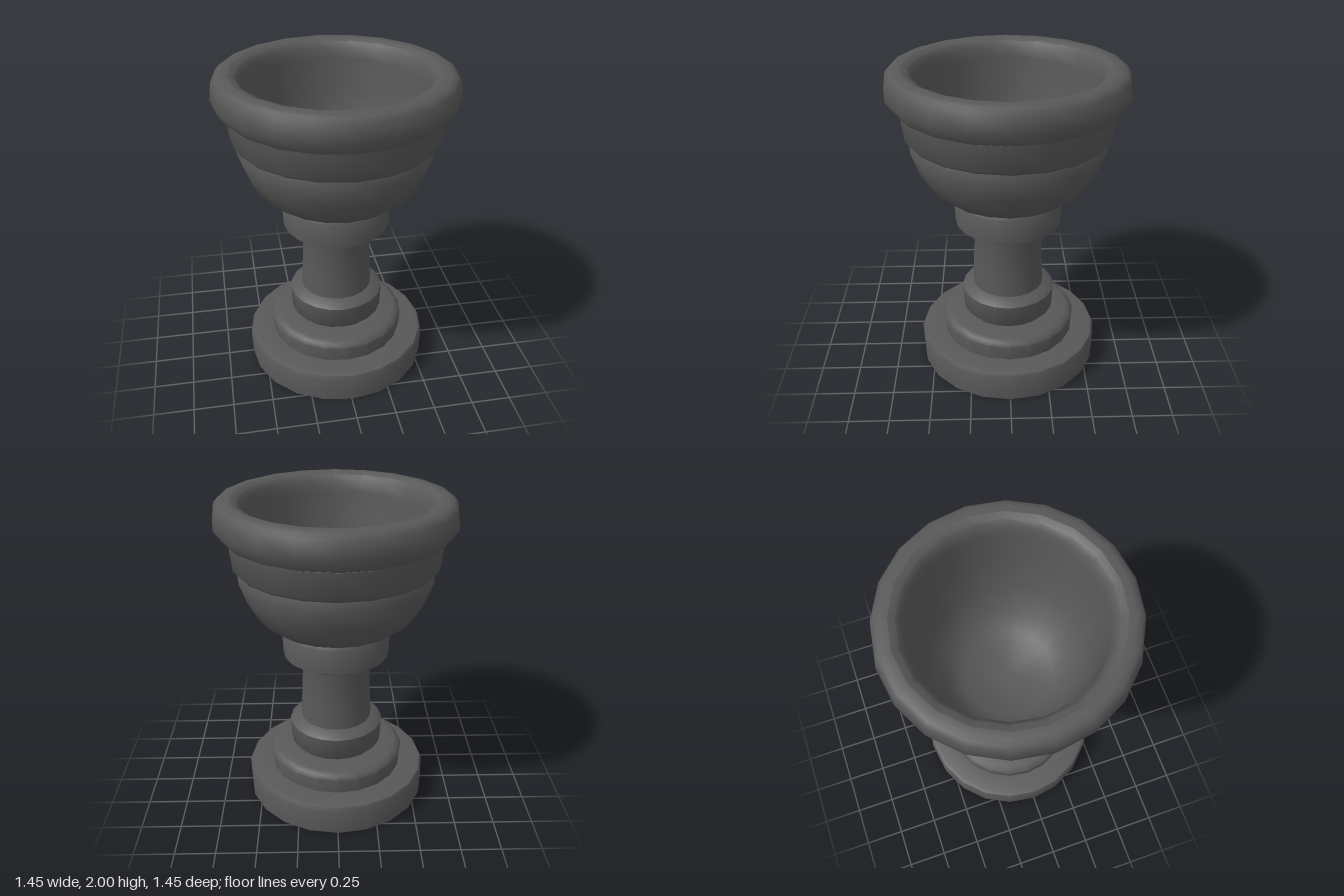
import * as THREE from 'three';
import { toCreasedNormals } from 'three/addons/utils/BufferGeometryUtils.js';

const SIDES = 20;

export function createModel() {
  const group = new THREE.Group();
  group.name = 'goblet';
  const stone = new THREE.MeshStandardMaterial({ color: 0x585858, side: THREE.DoubleSide });
  stone.name = 'dark grey stone';

  // Turned part from a profile of [radius, height] points, bottom to top on the outside
  function turned(name, profile, crease = 0.75) {
    const points = profile.map(([r, y]) => new THREE.Vector2(r, y));
    const geometry = toCreasedNormals(new THREE.LatheGeometry(points, SIDES), crease);
    const mesh = new THREE.Mesh(geometry, stone);
    mesh.name = name;
    group.add(mesh);
  }

  // Hollow stepped foot, open underneath
  turned('baseStep', [[0.582, 0], [0.588, 0.165], [0.575, 0.19], [0.55, 0.197], [0.43, 0.197]]);
  turned('upperStep', [[0.43, 0.197], [0.438, 0.298], [0.42, 0.322], [0.39, 0.333], [0.26, 0.335]]);

  // Stem with a ring at its foot and a collar at its head
  turned('stemRing', [[0.26, 0.335], [0.275, 0.345], [0.297, 0.37], [0.302, 0.505], [0.28, 0.525], [0.23, 0.543]]);
  turned('stem', [[0.23, 0.543], [0.222, 0.7], [0.212, 0.95], [0.215, 0.965]]);
  turned('collar', [[0.215, 0.965], [0.29, 0.972], [0.335, 1.0], [0.343, 1.16], [0.325, 1.185]], 0.9);

  // Rounded bowl
  turned('bowl', [
    [0.325, 1.183], [0.41, 1.22], [0.495, 1.29], [0.555, 1.4], [0.602, 1.53], [0.585, 1.585],
  ]);
  turned('bowlBand', [[0.585, 1.585], [0.61, 1.588], [0.63, 1.61], [0.648, 1.77], [0.635, 1.78]], 0.9);

  // Thick lip with a broad flat top
  turned('rim', [
    [0.635, 1.78], [0.67, 1.78], [0.727, 1.86], [0.712, 1.965], [0.69, 1.99], [0.66, 2.0], [0.62, 2.0],
  ], 0.95);

  // Hollow: rounded lip edge, steep wall, sloping ring and shallow dished floor
  turned('bowlInside', [
    [0.62, 2.0], [0.58, 1.985], [0.555, 1.95], [0.545, 1.88], [0.52, 1.66],
    [0.47, 1.42], [0.39, 1.25], [0.28, 1.17], [0, 1.14],
  ], 0.6);

  return group;
}
